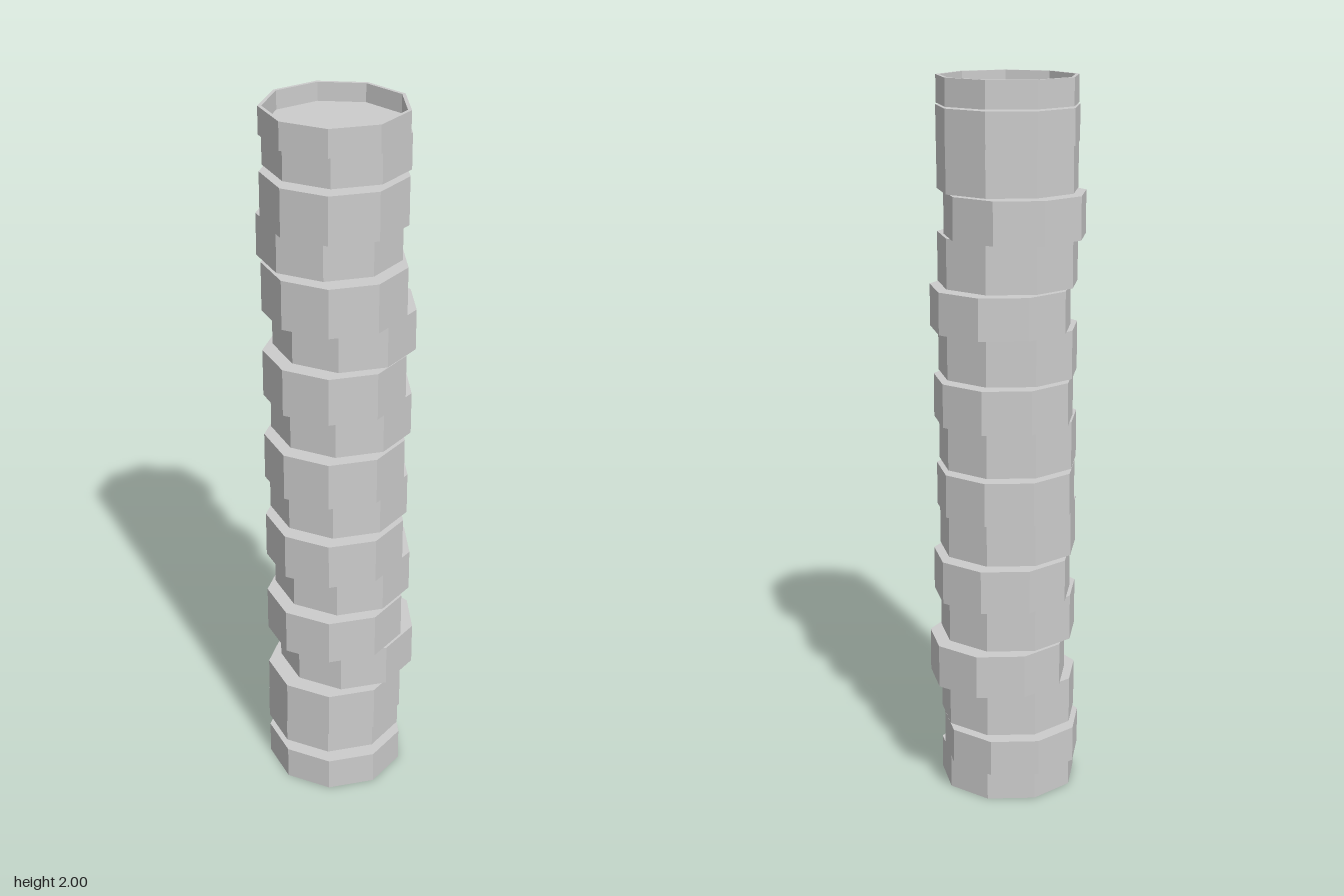
import * as THREE from 'three';

const SIDES = 9, RADIUS = 0.194, RIM = 0.184, RECESS = 0.05;
const material = new THREE.MeshStandardMaterial({ color: 0xcccccc, flatShading: true });

// heights of the joints between stacked discs
const JOINTS = [0, 0.096, 0.196, 0.327, 0.448, 0.577, 0.697, 0.827, 0.947,
  1.08, 1.2, 1.333, 1.448, 1.584, 1.7, 1.83, 1.926, 2];
// even discs share one axis; each odd disc is shifted by its own [x, z]
const AXIS = [-0.026, 0.021];
const SHIFTS = [[0.009, -0.008], [0.024, 0.028], [0.022, 0.014], [0.018, 0.004],
  [0.02, 0.01], [0.021, 0.019], [0.007, -0.018], [0.018, -0.003]];

// nine-sided solid from a profile that runs from the bottom axis point to the top one
function disc(name, profile, [x, z]) {
  const points = profile.map(([r, y]) => new THREE.Vector2(r, y));
  const geometry = new THREE.LatheGeometry(points, SIDES, Math.PI).toNonIndexed();
  geometry.computeVertexNormals();
  const mesh = new THREE.Mesh(geometry, material);
  mesh.name = name;
  mesh.position.set(x, 0, z);
  return mesh;
}

export function createModel() {
  const group = new THREE.Group();
  group.name = 'segmentedColumn';
  const last = JOINTS.length - 2;
  for (let i = 0; i <= last; i++) {
    const y0 = JOINTS[i], y1 = JOINTS[i + 1];
    // the two end discs have a hollow with a thin rim
    const bottom = i === 0 ? [[0, y0 + RECESS], [RIM, y0 + RECESS], [RIM, y0]] : [[0, y0]];
    const top = i === last ? [[RIM, y1], [RIM, y1 - RECESS], [0, y1 - RECESS]] : [[0, y1]];
    const profile = [...bottom, [RADIUS, y0], [RADIUS, y1], ...top];
    const odd = i % 2 === 1;
    const name = i === 0 ? 'bottomRim' : i === last ? 'topRim' : odd ? 'shiftedDisc' : 'coreDisc';
    // the last index is even or odd depending on the count, so pick the axis by parity
    group.add(disc(name, profile, odd ? SHIFTS[(i - 1) / 2] : AXIS));
  }
  return group;
}
